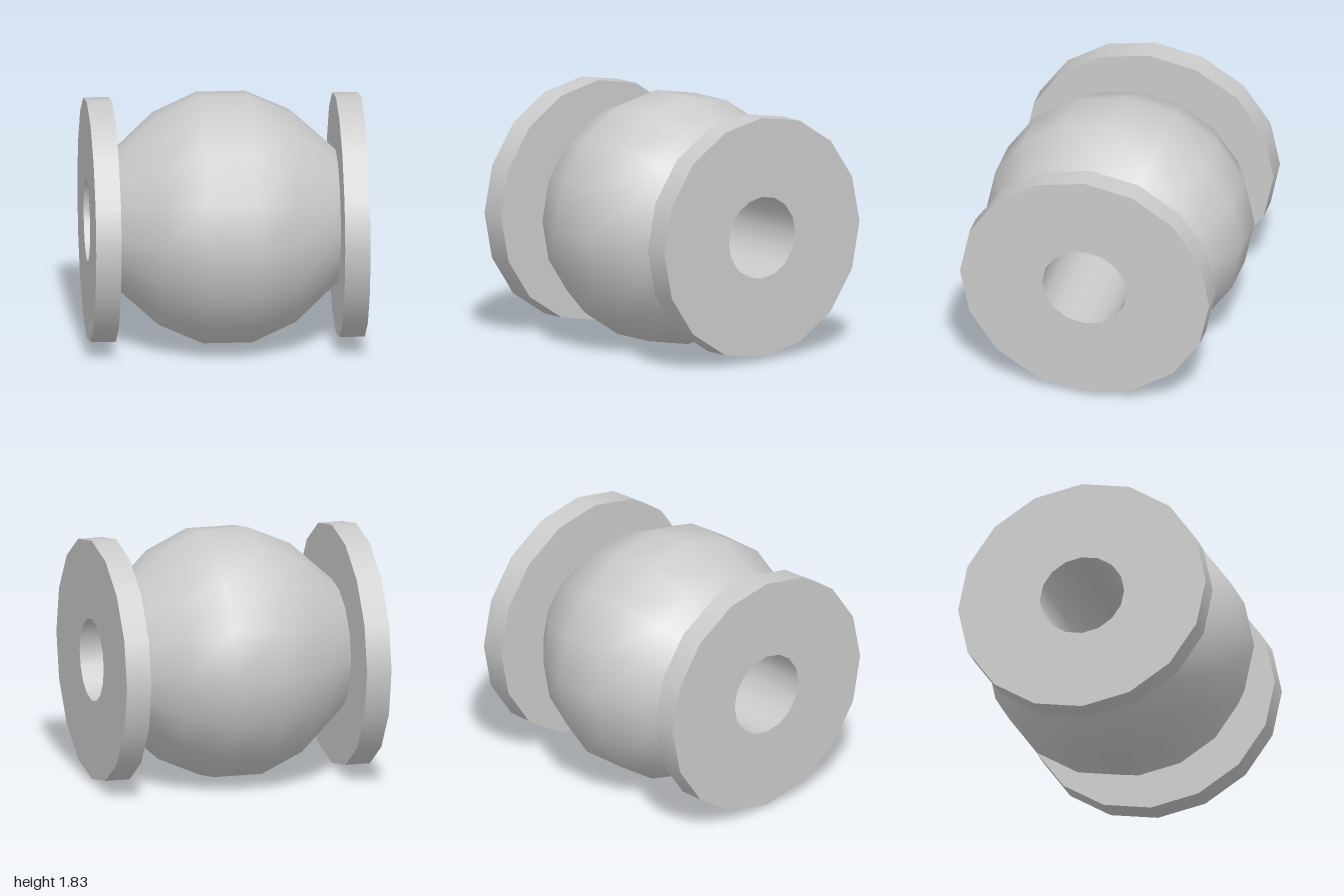
import * as THREE from 'three';
import { mergeGeometries } from 'three/addons/utils/BufferGeometryUtils.js';

const SIDES = 16;
const CENTRE_Y = 0.917;
const STRETCH_Z = 1.0526; // the round sections are slightly wider than tall
const BORE = 0.303;
const FLANGE_RADIUS = 0.89;
const FLANGE_INNER = 0.815;

// Revolves [radius, x] points around the x axis, smooth along the profile
function revolve(points) {
  const geometry = new THREE.LatheGeometry(points.map(([r, x]) => new THREE.Vector2(r, x)), SIDES);
  return geometry.rotateZ(-Math.PI / 2).scale(1, 1, STRETCH_Z);
}

// Revolves each straight stretch on its own so the rims stay sharp
function revolveSharp(points) {
  const bands = points.slice(1).map((p, i) => revolve([points[i], p]));
  return mergeGeometries(bands);
}

export function createModel() {
  const model = new THREE.Group();
  model.name = 'flangedBall';
  const material = new THREE.MeshStandardMaterial({ color: 0xcccccc });

  function add(name, geometry) {
    const mesh = new THREE.Mesh(geometry, material);
    mesh.name = name;
    mesh.position.y = CENTRE_Y;
    model.add(mesh);
  }

  // Rounded barrel between the flanges
  const half = [[0.915, 0.18], [0.773, 0.5], [0.487, FLANGE_INNER]];
  const mirrored = half.map(([r, x]) => [r, -x]).reverse();
  add('body', revolve([...mirrored, ...half]));

  // End flanges: inner face, rim and outer face
  for (const [name, x0, x1] of [['leftFlange', FLANGE_INNER, 1], ['rightFlange', -1, -FLANGE_INNER]]) {
    add(name, revolveSharp([[BORE, x0], [FLANGE_RADIUS, x0], [FLANGE_RADIUS, x1], [BORE, x1]]));
  }

  // Hole straight through, facing inwards
  add('bore', revolve([[BORE, 1], [BORE, -1]]));

  return model;
}
